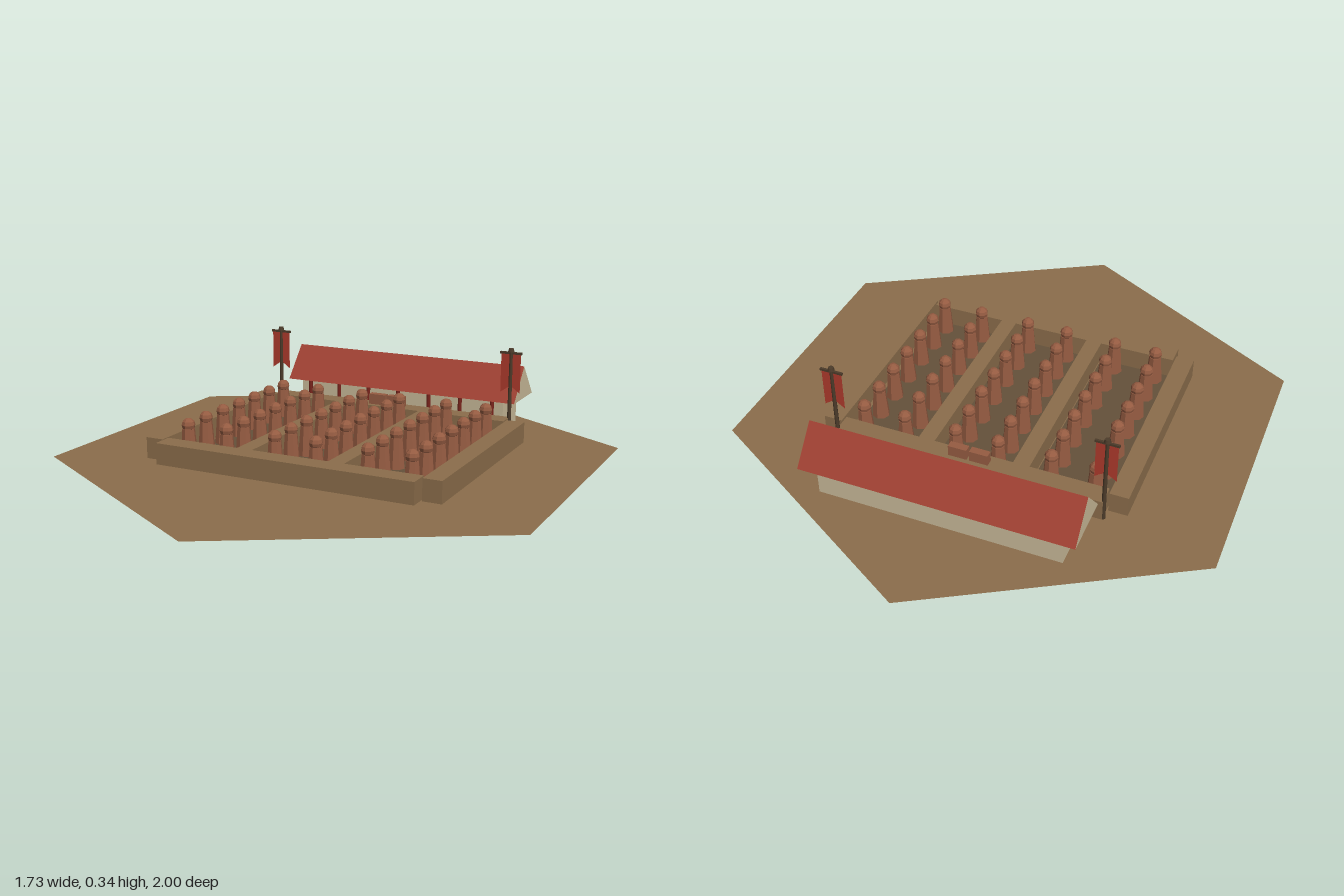
import * as THREE from 'three';

const mat = (name, color, extra = {}) => {
  const m = new THREE.MeshStandardMaterial({ color, ...extra });
  m.name = name;
  return m;
};

export function createModel() {
  const earth = mat('earth', 0x8b6d4b, { side: THREE.DoubleSide });
  const pitSoil = mat('pitSoil', 0x64513a);
  const clay = mat('clay', 0x965c42, { flatShading: true });
  const plaster = mat('plaster', 0xc8b998);
  const roofRed = mat('roofRed', 0x9e4032);
  const columnRed = mat('columnRed', 0x7a241c);
  const bannerRed = mat('bannerRed', 0xae3a2c, { side: THREE.DoubleSide });
  const darkWood = mat('darkWood', 0x4c3b2a);

  const model = new THREE.Group();
  model.name = 'burialPitSite';

  const add = (parent, name, geo, material, x = 0, y = 0, z = 0) => {
    const m = new THREE.Mesh(geo, material);
    m.name = name;
    m.position.set(x, y, z);
    parent.add(m);
    return m;
  };
  // Box given by its extents
  const box = (parent, name, material, x0, x1, y0, y1, z0, z1) =>
    add(parent, name, new THREE.BoxGeometry(x1 - x0, y1 - y0, z1 - z0), material,
      (x0 + x1) / 2, (y0 + y1) / 2, (z0 + z1) / 2);

  // Hexagonal ground with points towards front and back
  const hex = new THREE.CircleGeometry(1, 6, Math.PI / 2);
  hex.rotateX(-Math.PI / 2);
  add(model, 'ground', hex, earth);

  // Earth banks around and between the pits
  const y0 = 0.008, top = 0.083;
  box(model, 'frontBank', earth, -0.476, 0.476, y0, top, 0.36, 0.435);
  box(model, 'backBank', earth, -0.476, 0.476, y0, top, -0.44, -0.37);
  for (const s of [-1, 1]) {
    const a = s * 0.515, b = s * 0.171;
    box(model, 'sideBank', earth, a - 0.033, a + 0.033, y0, top, -0.393, 0.387);
    box(model, 'dividingBank', earth, b - 0.029, b + 0.029, y0, top, -0.37, 0.36);
  }

  // Three sunken pits, each with two files of seven clay figures
  const bodyGeo = new THREE.CylinderGeometry(0.022, 0.031, 0.108, 8);
  const headGeo = new THREE.SphereGeometry(0.024, 8, 6);
  for (const cx of [-0.342, 0, 0.342]) {
    const w = cx ? 0.133 : 0.143;
    const mid = cx - Math.sign(cx) * 0.006;
    box(model, 'pitFloor', pitSoil, mid - w, mid + w, 0.002, 0.008, -0.37, 0.36);
    for (const dx of [-0.077, 0.077]) {
      for (let i = 0; i < 7; i++) {
        const figure = new THREE.Group();
        figure.name = 'clayFigure';
        figure.position.set(cx + dx, 0, -0.01 + (i - 3) * 0.11);
        add(figure, 'figureBody', bodyGeo, clay, 0, 0.06, 0);
        add(figure, 'figureHead', headGeo, clay, 0, 0.127, 0);
        model.add(figure);
      }
    }
  }

  // Two clay blocks on the back bank
  for (const s of [-1, 1]) {
    box(model, 'clayBlock', clay, s * 0.038 - 0.033, s * 0.038 + 0.033, top, 0.122, -0.417, -0.39);
  }

  // Long hall: walls, gabled roof and a row of columns
  const hall = new THREE.Group();
  hall.name = 'hall';
  model.add(hall);
  box(hall, 'hallWalls', plaster, -0.425, 0.425, y0, 0.121, -0.663, -0.51);
  const gable = new THREE.Shape([
    new THREE.Vector2(-0.105, 0.12), new THREE.Vector2(0.105, 0.12), new THREE.Vector2(0, 0.243),
  ]);
  const roofGeo = new THREE.ExtrudeGeometry(gable, { depth: 0.95, bevelEnabled: false });
  roofGeo.translate(0, 0, -0.475).rotateY(Math.PI / 2);
  add(hall, 'gabledRoof', roofGeo, [plaster, roofRed], 0, 0, -0.593);
  const columnGeo = new THREE.CylinderGeometry(0.008, 0.008, 0.112, 8);
  for (let i = -3; i <= 3; i++) {
    add(hall, 'hallColumn', columnGeo, columnRed, i * 0.128, 0.064, -0.502);
  }

  // Swallow-tailed banners on poles at the back corners
  const cloth = new THREE.Shape([
    [-0.037, 0.322], [-0.037, 0.177], [0, 0.203], [0.037, 0.177], [0.037, 0.322],
  ].map(([x, y]) => new THREE.Vector2(x, y)));
  const clothGeo = new THREE.ShapeGeometry(cloth);
  for (const s of [-1, 1]) {
    const banner = new THREE.Group();
    banner.name = 'banner';
    banner.position.set(s * 0.477, 0, -0.43);
    add(banner, 'bannerPole', new THREE.CylinderGeometry(0.006, 0.008, 0.325, 8), darkWood, 0, 0.17, 0);
    add(banner, 'poleCap', new THREE.CylinderGeometry(0.009, 0.012, 0.012, 8), darkWood, 0, 0.335, 0);
    box(banner, 'bannerCrossbar', darkWood, -0.041, 0.041, 0.32, 0.328, -0.004, 0.004);
    add(banner, 'bannerCloth', clothGeo, bannerRed);
    model.add(banner);
  }

  return model;
}
